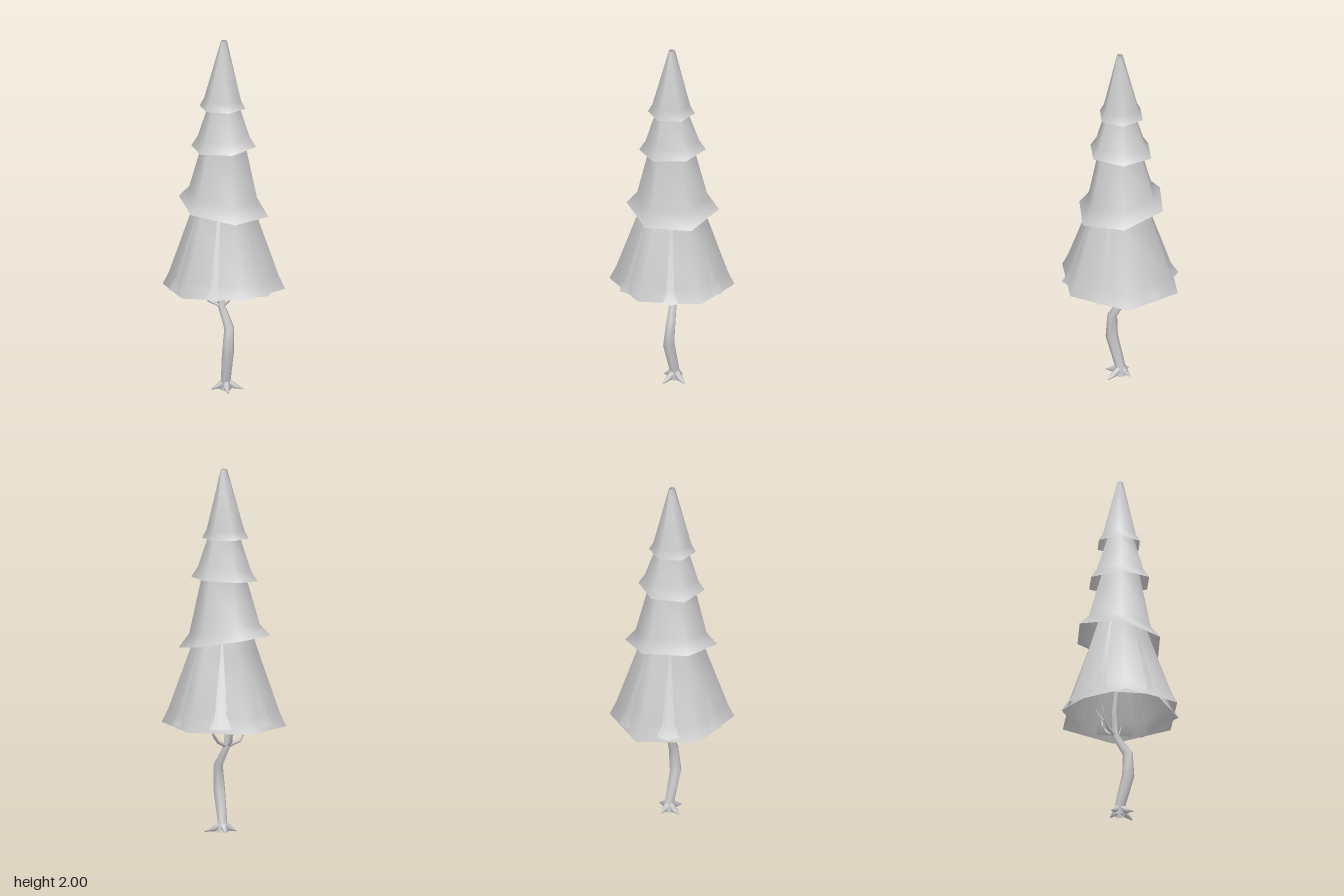
import * as THREE from 'three';
import { mergeVertices } from 'three/addons/utils/BufferGeometryUtils.js';

const foliage = new THREE.MeshStandardMaterial({ color: 0xcccccc, side: THREE.DoubleSide });
const bark = new THREE.MeshStandardMaterial({ color: 0xcccccc, side: THREE.DoubleSide });

// Open six-sided skirt of needles; the hem (lowest two rings) is tilted.
function tier(name, profile, { turn = 0, tiltX = 0, tiltZ = 0, x = 0, z = 0 } = {}) {
  let geo = new THREE.LatheGeometry(profile.map(([r, y]) => new THREE.Vector2(r, y)), 6);
  geo.rotateY(THREE.MathUtils.degToRad(turn));
  geo.deleteAttribute('uv');
  geo.deleteAttribute('normal');
  geo = mergeVertices(geo, 1e-4);
  const p = geo.attributes.position;
  const hemTop = profile[1][1] + 1e-3;
  for (let i = 0; i < p.count; i++) {
    if (p.getY(i) > hemTop) continue;
    p.setY(i, p.getY(i) + tiltX * p.getX(i) + tiltZ * p.getZ(i));
    p.setX(i, p.getX(i) + x);
    p.setZ(i, p.getZ(i) + z);
  }
  geo.computeVertexNormals();
  const mesh = new THREE.Mesh(geo, foliage);
  mesh.name = name;
  return mesh;
}

// Tapered limb lofted through [x, y, z, radius] stations.
function limb(name, stations, sides = 6) {
  const pts = stations.map(s => new THREE.Vector3(s[0], s[1], s[2]));
  const up = new THREE.Vector3(0, 1, 0);
  const pos = [], index = [];
  pts.forEach((c, i) => {
    const dir = pts[Math.min(i + 1, pts.length - 1)].clone().sub(pts[Math.max(i - 1, 0)]).normalize();
    const q = new THREE.Quaternion().setFromUnitVectors(up, dir);
    for (let j = 0; j < sides; j++) {
      const a = j / sides * Math.PI * 2, r = stations[i][3];
      const v = new THREE.Vector3(Math.cos(a) * r, 0, Math.sin(a) * r).applyQuaternion(q).add(c);
      pos.push(v.x, Math.max(v.y, 0), v.z);
      if (i < pts.length - 1) {
        const a0 = i * sides + j, b0 = i * sides + (j + 1) % sides;
        index.push(a0, a0 + sides, b0, b0, a0 + sides, b0 + sides);
      }
    }
  });
  const geo = new THREE.BufferGeometry();
  geo.setAttribute('position', new THREE.Float32BufferAttribute(pos, 3));
  geo.setIndex(index);
  geo.computeVertexNormals();
  const mesh = new THREE.Mesh(geo, bark);
  mesh.name = name;
  return mesh;
}

export function createModel() {
  const tree = new THREE.Group();
  tree.name = 'coniferTree';

  // Foliage, from the bottom up; the lowest skirt is two crossed layers
  tree.add(
    tier('lowestTier', [[0.342, 0.594], [0.305, 0.67], [0.188, 1.0], [0.13, 1.17]],
      { turn: 2.5, tiltZ: 0.05 }),
    tier('lowestTierInner', [[0.322, 0.605], [0.28, 0.67], [0.168, 1.0], [0.12, 1.15]],
      { turn: 34, tiltX: -0.01 }),
    tier('lowerMiddleTier', [[0.254, 1.05], [0.195, 1.12], [0.124, 1.4], [0.085, 1.55]],
      { turn: -1, tiltX: -0.1, tiltZ: -0.13, z: -0.007 }),
    tier('upperMiddleTier', [[0.183, 1.395], [0.147, 1.45], [0.09, 1.62], [0.05, 1.75]],
      { tiltX: 0.06, z: -0.005 }),
    tier('topTier', [[0.129, 1.62], [0.104, 1.665], [0.017, 2.0]],
      { x: -0.007, z: -0.004 }),
  );

  // Crooked trunk
  tree.add(limb('trunk', [
    [0.012, 0, -0.012, 0.034], [0.012, 0.05, -0.008, 0.028], [0.01, 0.23, 0.045, 0.034],
    [0.019, 0.365, 0.038, 0.028], [-0.008, 0.48, -0.028, 0.02],
    [-0.01, 0.62, -0.03, 0.017], [-0.004, 0.8, -0.015, 0.012], [0, 0.95, 0, 0.003],
  ]));

  // Roots
  const rootTips = [[0.105, 0.025], [-0.066, -0.02], [0.0, 0.085], [0.02, -0.07]];
  rootTips.forEach(([x, z], i) => {
    const mx = (x + 0.012) / 2, mz = (z - 0.012) / 2;
    tree.add(limb('root' + (i + 1),
      [[0.012, 0.05, -0.012, 0.02], [mx, 0.02, mz, 0.017], [x, 0.004, z, 0.003]], 5));
  });

  // Bare branches with twigs under the skirt
  const branches = {
    rightBranch: [[-0.01, 0.475, -0.025, 0.012], [-0.075, 0.505, -0.04, 0.009],
      [-0.112, 0.565, -0.045, 0.006], [-0.125, 0.63, -0.05, 0.002]],
    leftBranch: [[-0.005, 0.475, -0.025, 0.012], [0.06, 0.505, -0.06, 0.009],
      [0.1, 0.555, -0.09, 0.006], [0.115, 0.63, -0.1, 0.002]],
    backBranch: [[-0.01, 0.48, -0.03, 0.011], [-0.01, 0.505, -0.075, 0.008],
      [0.0, 0.56, -0.108, 0.006], [0.01, 0.63, -0.12, 0.002]],
    rightTwig: [[-0.09, 0.53, -0.042, 0.005], [-0.11, 0.56, -0.07, 0.004], [-0.115, 0.6, -0.09, 0.002]],
    leftTwig: [[0.06, 0.505, -0.06, 0.006], [0.072, 0.515, -0.045, 0.004], [0.1, 0.58, -0.04, 0.002]],
    backTwig: [[-0.005, 0.53, -0.09, 0.005], [-0.03, 0.57, -0.09, 0.004], [-0.04, 0.62, -0.1, 0.002]],
  };
  for (const [name, path] of Object.entries(branches)) tree.add(limb(name, path, 5));

  return tree;
}
